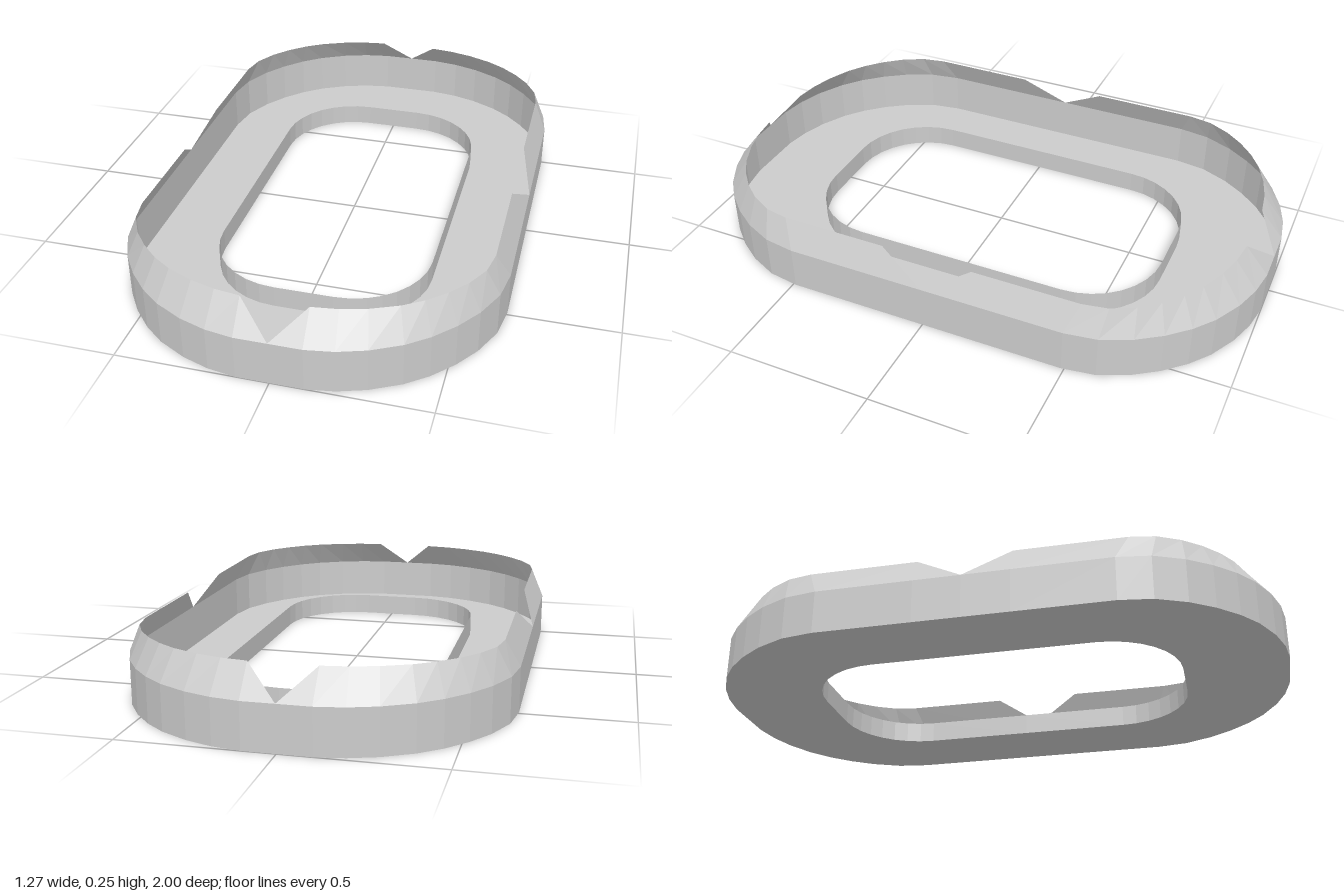
import * as THREE from 'three';

const WALL_Y = 0.15, RIM_Y = 0.245, COLLAR_Y = 0.075;

// Mirror a quarter outline (from the x axis to the z axis) into a closed loop
function fullLoop(quarter) {
  const half = [...quarter, ...quarter.slice(0, -1).reverse().map(([x, y, z]) => [-x, y, z])].slice(0, -1);
  return [...half, ...half.map(([x, y, z]) => [-x, y, -z])];
}

// Join two loops with a band of faces pointing outward, skipping collapsed ones
function band(lower, upper) {
  const v = p => new THREE.Vector3(...p);
  const pos = [];
  const tri = (...c) => {
    const [a, b, d] = c.map(v);
    if (b.sub(a).cross(d.sub(a)).length() > 1e-8) pos.push(...c.flat());
  };
  lower.forEach((a, i) => {
    const j = (i + 1) % lower.length;
    tri(a, upper[i], lower[j]);
    tri(upper[i], upper[j], lower[j]);
  });
  const g = new THREE.BufferGeometry();
  g.setAttribute('position', new THREE.Float32BufferAttribute(pos, 3));
  g.computeVertexNormals();
  return g;
}

const atHeight = (loop, h) => loop.map(([x, , z]) => [x, h, z]);

export function createModel() {
  const group = new THREE.Group();
  const material = new THREE.MeshStandardMaterial({
    color: 0xcccccc, flatShading: true, side: THREE.DoubleSide,
  });
  const add = (name, geometry) => {
    const mesh = new THREE.Mesh(geometry, material);
    mesh.name = name;
    group.add(mesh);
  };

  // Rounded corner of the outer wall, as x and z
  const corner = [[0.637, 0.49], [0.62, 0.6], [0.575, 0.7], [0.52, 0.78], [0.455, 0.85],
    [0.385, 0.905], [0.29, 0.955], [0.2, 0.985], [0.107, 1]];
  const outer = fullLoop([[0.637, 0, 0], [0.637, 0, 0.16], ...corner.map(([x, z]) => [x, 0, z]), [0, 0, 1]]);

  // Inset rim, dropping to the wall top at the four V notches
  const rim = fullLoop([
    [0.637, WALL_Y, 0], [0.59, RIM_Y, 0.16],
    ...corner.map(([x, z]) => [
      0.107 + (x - 0.107) * 0.483 / 0.53, RIM_Y, 0.53 + (z - 0.49) * 0.39 / 0.51]),
    [0, WALL_Y, 1],
  ]);

  // Central opening
  const opening = [[0.368, 0, 0]];
  for (let i = 0; i <= 8; i++) {
    const a = i * Math.PI / 16;
    opening.push([0.1 + 0.268 * Math.cos(a), 0, 0.38 + 0.265 * Math.sin(a)]);
  }
  opening.push([0, 0, 0.645]);
  const hole = fullLoop(opening);

  add('outerWall', band(outer, atHeight(outer, WALL_Y)));
  add('notchedSlopingRim', band(atHeight(outer, WALL_Y), rim));
  add('openingCollar', band(hole, atHeight(hole, COLLAR_Y)));

  // Flat floor around the opening
  const flat = loop => loop.map(([x, , z]) => new THREE.Vector2(x, -z));
  const floor = new THREE.Shape(flat(outer));
  floor.holes.push(new THREE.Path(flat(hole)));
  add('floor', new THREE.ShapeGeometry(floor).rotateX(-Math.PI / 2));

  return group;
}
